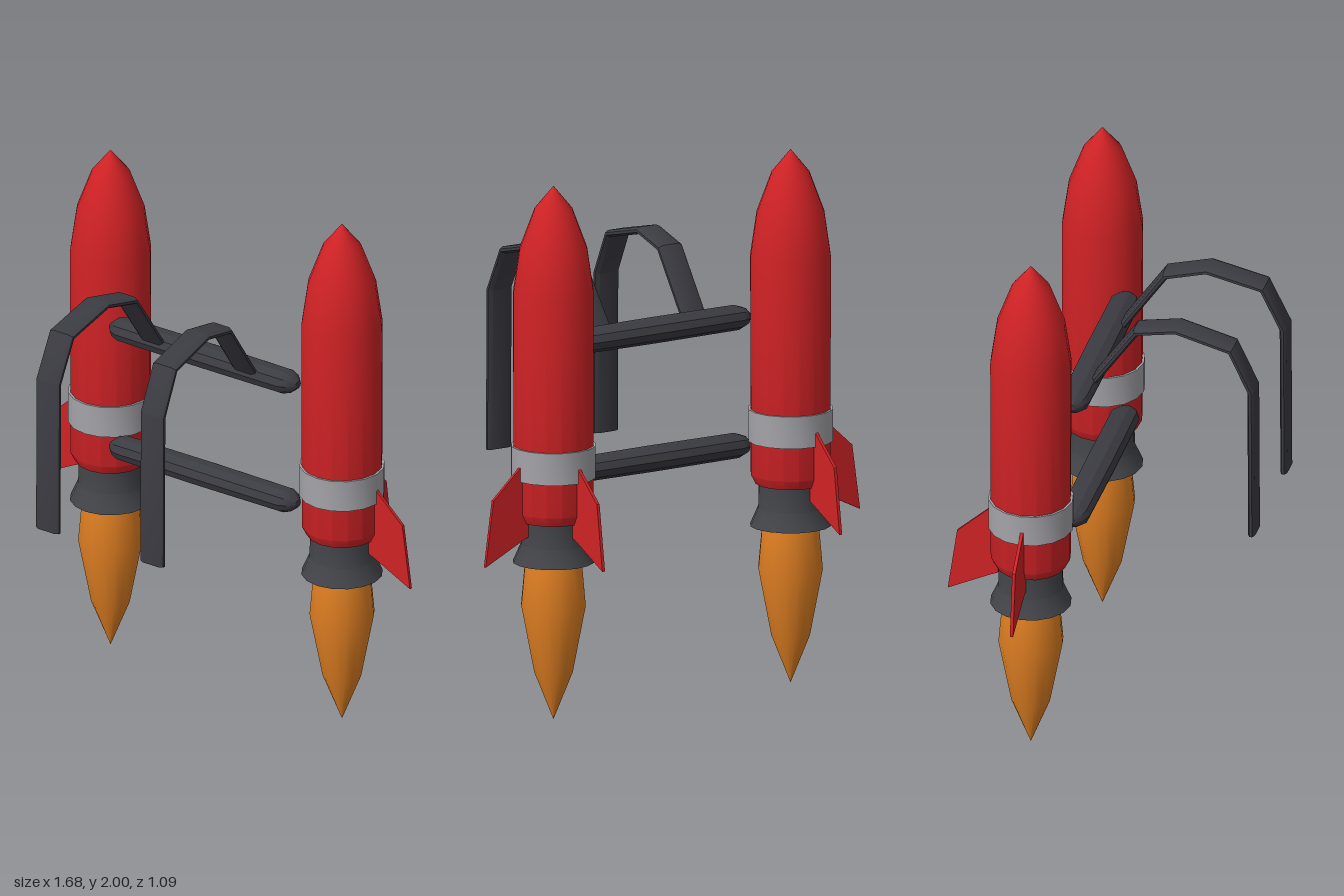
import * as THREE from 'three';
import { toCreasedNormals } from 'three/addons/utils/BufferGeometryUtils.js';

const mat = (name, color) => Object.assign(new THREE.MeshStandardMaterial({ color }), { name });

function add(parent, name, geometry, material) {
  const mesh = new THREE.Mesh(geometry, material);
  mesh.name = name;
  parent.add(mesh);
  return mesh;
}

// Turned part from [radius, y] points, listed bottom to top on the outside
function turned(points, sides = 16) {
  const profile = points.map(([r, y]) => new THREE.Vector2(r, y));
  return toCreasedNormals(new THREE.LatheGeometry(profile, sides), 0.5);
}

// Thin swept fin in the xy plane
function finGeometry() {
  const shape = new THREE.Shape([
    [0.12, 0.70], [0.145, 0.69], [0.31, 0.61], [0.275, 0.855], [0.148, 0.97], [0.12, 0.97],
  ].map(([x, y]) => new THREE.Vector2(x, y)));
  const geo = new THREE.ExtrudeGeometry(shape, { depth: 0.012, bevelEnabled: false });
  return geo.translate(0, 0, -0.006);
}

// Flat bevelled band swept along [x, y, z] points, mitred at the bends
function strapGeometry(path) {
  const section = [[0.052, -0.005], [0.052, 0.005], [0.036, 0.013], [-0.036, 0.013],
    [-0.052, 0.005], [-0.052, -0.005], [-0.036, -0.013], [0.036, -0.013]];
  const n = section.length;
  const pos = [];
  const index = [];
  const dir = (a, b) => new THREE.Vector2(b[2] - a[2], b[1] - a[1]).normalize();
  path.forEach((p, i) => {
    const before = dir(path[Math.max(i - 1, 0)], path[Math.max(i, 1)]);
    const after = dir(path[Math.min(i, path.length - 2)], path[Math.min(i + 1, path.length - 1)]);
    const t = before.clone().add(after).normalize();
    const miter = 1 / t.dot(before);
    for (const [u, v] of section) {
      pos.push(p[0] + u, p[1] + t.x * v * miter, p[2] - t.y * v * miter);
    }
  });
  for (let i = 0; i < path.length - 1; i++) {
    for (let j = 0; j < n; j++) {
      const a = i * n + j, b = i * n + (j + 1) % n;
      index.push(a, b, b + n, a, b + n, a + n);
    }
  }
  const last = (path.length - 1) * n;
  for (let j = 1; j < n - 1; j++) {
    index.push(0, j + 1, j, last, last + j, last + j + 1);
  }
  const geo = new THREE.BufferGeometry();
  geo.setAttribute('position', new THREE.Float32BufferAttribute(pos, 3));
  geo.setIndex(index);
  return toCreasedNormals(geo, 0.5);
}

export function createModel() {
  const red = mat('red paint', 0xd02225);
  const silver = mat('silver band', 0xa4a4a9);
  const nozzleGrey = mat('nozzle grey', 0x434449);
  const frameGrey = mat('frame grey', 0x3b3b42);
  const orange = mat('flame orange', 0xe07f22);

  const model = new THREE.Group();
  model.name = 'rocketBackpack';

  const body = turned([[0, 0.75], [0.13, 0.75], [0.148, 0.785], [0.15, 1.6],
    [0.126, 1.765], [0.07, 1.915], [0, 2]]);
  const band = turned([[0.14, 0.91], [0.157, 0.91], [0.157, 1.03], [0.14, 1.03]]);
  // Flared bell with a hollow underside
  const nozzle = turned([[0.09, 0.66], [0.105, 0.66], [0.135, 0.592], [0.15, 0.592],
    [0.12, 0.66], [0.118, 0.755]]);
  const flame = turned([[0, 0], [0.072, 0.18], [0.12, 0.43], [0.104, 0.61], [0.09, 0.67]]);
  const fin = finGeometry();

  for (const side of [1, -1]) {
    // Rocket with one outward fin and one rear fin
    const rocket = new THREE.Group();
    rocket.name = side > 0 ? 'leftRocket' : 'rightRocket';
    rocket.position.set(side * 0.528, 0, -0.235);
    model.add(rocket);
    add(rocket, 'body', body, red);
    add(rocket, 'band', band, silver);
    add(rocket, 'nozzle', nozzle, nozzleGrey);
    add(rocket, 'flame', flame, orange);
    const outerFin = add(rocket, 'outerFin', fin, red);
    outerFin.rotation.y = side > 0 ? 0 : Math.PI;
    outerFin.position.z = -side * 0.006;
    const rearFin = add(rocket, 'rearFin', fin, red);
    rearFin.rotation.y = Math.PI / 2;
    rearFin.position.x = -0.008;

    // Shoulder strap
    add(model, side > 0 ? 'leftStrap' : 'rightStrap', strapGeometry([
      [side * 0.21, 1.36, -0.085], [side * 0.215, 1.612, 0.09], [side * 0.228, 1.648, 0.245],
      [side * 0.235, 1.597, 0.452], [side * 0.238, 1.435, 0.53], [side * 0.238, 0.835, 0.533],
    ]), frameGrey);
  }

  // Cross bars with rounded ends
  const bar = turned([[0, -0.428], [0.3, -0.425], [0.75, -0.402], [1, -0.37],
    [1.04, 0], [1, 0.37], [0.75, 0.402], [0.3, 0.425], [0, 0.428]]
    .map(([r, y]) => [r * 0.05, y]), 10);
  bar.rotateZ(Math.PI / 2).scale(1, 0.92, 1.14);
  for (const [name, y] of [['upperBar', 1.365], ['lowerBar', 0.885]]) {
    add(model, name, bar, frameGrey).position.set(-0.004, y, -0.11);
  }
  return model;
}
